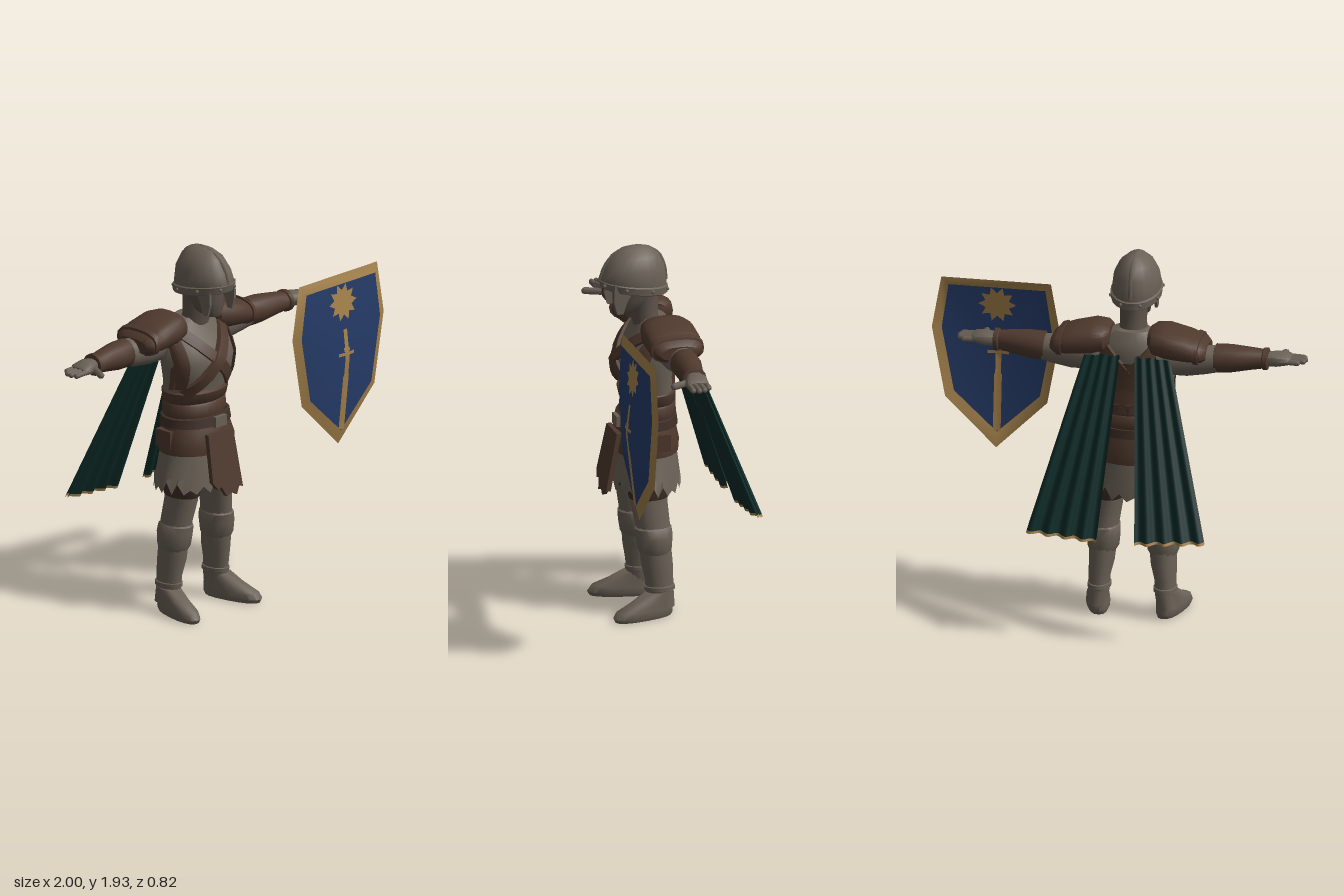
import * as THREE from 'three';
import { toCreasedNormals } from 'three/addons/utils/BufferGeometryUtils.js';

const mat = (name, color) => Object.assign(new THREE.MeshStandardMaterial({ color, side: THREE.DoubleSide }), { name });

const lerp = THREE.MathUtils.lerp;

// Surface through a grid of points; rows go up, columns go counter-clockwise
function grid(rows, capped) {
  const n = rows[0].length, pos = rows.flat(2), idx = [];
  for (let i = 0; i < rows.length - 1; i++)
    for (let j = 0; j < n - 1; j++) {
      const a = i * n + j;
      idx.push(a, a + 1, a + n + 1, a, a + n + 1, a + n);
    }
  if (capped) {
    const top = (rows.length - 1) * n;
    for (let j = 1; j < n - 2; j++) idx.push(0, j + 1, j, top, top + j, top + j + 1);
  }
  const g = new THREE.BufferGeometry();
  g.setAttribute('position', new THREE.Float32BufferAttribute(pos, 3));
  g.setIndex(idx);
  return toCreasedNormals(g, 0.75);
}

// Loft of upright rings [y, rx, rz, cz, cx, tilt]
function loft(rings, { seg = 16, power = 1, jag = 0, capped = true } = {}) {
  const sp = v => Math.sign(v) * Math.abs(v) ** power;
  return grid(rings.map(([y, rx, rz, cz = 0, cx = 0, tilt = 0], i) =>
    Array.from({ length: seg + 1 }, (_, j) => {
      const a = (j % seg) / seg * Math.PI * 2;
      const cut = i === 0 && j % 2 ? jag * (1 + 0.5 * Math.sin(j * 2.3)) : 0;
      return [cx + rx * sp(Math.sin(a)), y + tilt * Math.cos(a) + cut, cz + rz * sp(Math.cos(a))];
    })), capped);
}

// Loft running sideways along +x; rings [x, ry, rz, cz, cy]
const sideLoft = (rings, opt) =>
  loft(rings.map(([x, ry, rz, cz, cy]) => [x, ry, rz, cz, -cy]), opt).rotateZ(-Math.PI / 2);

function add(parent, name, geometry, material, x = 0, y = 0, z = 0) {
  const m = new THREE.Mesh(geometry, material);
  m.name = name;
  m.position.set(x, y, z);
  parent.add(m);
  return m;
}

const TORSO = [[1.0, .17, .125, .07], [1.14, .175, .125, .065], [1.25, .205, .14, .09], [1.34, .22, .15, .09],
  [1.42, .22, .135, .065], [1.49, .19, .105, .045], [1.55, .1, .075, .05]];

// Depth of the torso surface at x, y (dir 1 front, -1 back)
function torsoZ(x, y, dir) {
  let i = 0;
  while (i < TORSO.length - 2 && TORSO[i + 1][0] < y) i++;
  const a = TORSO[i], b = TORSO[i + 1], t = THREE.MathUtils.clamp((y - a[0]) / (b[0] - a[0]), 0, 1);
  const [rx, rz, cz] = [1, 2, 3].map(k => lerp(a[k], b[k], t));
  return cz + dir * rz * Math.sqrt(Math.max(0.03, 1 - (x / rx) ** 2));
}

// Raised leather band laid over the torso between two points
function strap([x0, y0], [x1, y1], width, dir, lift = 0.018) {
  const len = Math.hypot(x1 - x0, y1 - y0), px = (y0 - y1) / len, py = (x1 - x0) / len;
  const rows = [];
  for (let i = 0; i <= 10; i++) {
    const cx = lerp(x0, x1, i / 10), cy = lerp(y0, y1, i / 10);
    rows.push([-.5, -.44, -.15, .15, .44, .5].map((w, k) => {
      const x = cx + px * w * width, y = cy + py * w * width;
      return [x, y, torsoZ(x, y, dir) + dir * (k % 5 ? lift : -0.01)];
    }));
  }
  return grid(rows);
}

export function createModel() {
  const steel = mat('steel', 0x6a6156), skin = mat('skin', 0x5a5047), leather = mat('leather', 0x4f392d),
    darkLeather = mat('dark leather', 0x3f2e26), green = mat('green cloth', 0x0c2b28),
    blue = mat('blue paint', 0x263c69), gold = mat('gold paint', 0xa5824c);
  const model = new THREE.Group();
  const body = new THREE.Group();
  body.name = 'body';
  body.position.x = -0.095;
  model.add(body);

  // Head and helmet
  add(body, 'neck', loft([[1.45, .1, .08, .05], [1.56, .07, .07, .085], [1.7, .07, .075, .09]]), skin);
  add(body, 'face', loft([[1.575, .04, .04, .2], [1.6, .068, .075, .175], [1.66, .083, .1, .15], [1.76, .09, .11, .14]]), skin);
  add(body, 'helmet', loft([[1.7, .116, .165, .14, -.005, .025], [1.745, .125, .176, .145, -.005, .02], [1.82, .115, .16, .14, -.005],
    [1.88, .085, .125, .135, -.005], [1.915, .045, .08, .13, -.005], [1.93, .008, .03, .13, -.005]], { seg: 20 }), steel);
  add(body, 'helmetRim', loft([[1.695, .121, .168, .14, -.005, .025], [1.70, .128, .176, .14, -.005, .025],
    [1.735, .132, .181, .143, -.005, .025], [1.742, .122, .17, .143, -.005, .025]], { seg: 20, capped: false }), steel);
  const crest = new THREE.CatmullRomCurve3([[.318, 1.76], [.295, 1.83], [.24, 1.89], [.13, 1.925], [.02, 1.885], [-.02, 1.81], [-.03, 1.73]]
    .map(([z, y]) => new THREE.Vector3(-.005, y, z)));
  add(body, 'helmetCrest', new THREE.TubeGeometry(crest, 20, 0.01, 5), steel);
  for (let i = 0; i < 8; i++) {
    const a = (i + 0.5) / 8 * Math.PI * 2;
    add(body, 'helmetRivet', new THREE.SphereGeometry(0.01, 6, 4), steel,
      -.005 + .131 * Math.sin(a), 1.72 + .025 * Math.cos(a), .143 + .18 * Math.cos(a));
  }
  const cheek = new THREE.Shape([[.15, 1.74], [.27, 1.76], [.272, 1.66], [.255, 1.6], [.225, 1.6], [.2, 1.67]]
    .map(([z, y]) => new THREE.Vector2(-z, y)));
  for (const s of [-1, 1])
    add(body, 'cheekGuard', new THREE.ExtrudeGeometry(cheek, { depth: .014, bevelEnabled: false }).rotateY(Math.PI / 2),
      steel, s * .088 - .007);

  // Torso, straps and back panel
  add(body, 'torso', loft(TORSO, { seg: 24 }), steel);
  add(body, 'bellyWrap', loft([[1.02, .172, .13, .07], [1.05, .185, .142, .07], [1.1, .182, .138, .068], [1.11, .176, .13, .068],
    [1.12, .185, .14, .07], [1.17, .192, .146, .075], [1.18, .18, .13, .075]], { seg: 24, capped: false }), leather);
  for (const s of [-1, 1]) {
    add(body, 'chestStrap', strap([s * .15, 1.5], [-s * .16, 1.17], .065, 1, s > 0 ? .024 : .016), leather);
    add(body, 'shoulderYoke', strap([s * .19, 1.5], [s * .185, 1.2], .05, 1), leather);
    add(body, 'backYoke', strap([s * .17, 1.47], [s * .02, 1.3], .13, -1), leather);
  }
  add(body, 'backPanel', strap([0, 1.12], [0, 1.4], .24, -1, .013), leather);

  // Belt, leather skirt and ragged hem
  add(body, 'skirt', loft([[.85, .215, .168, .085], [.9, .218, .172, .085], [.97, .198, .152, .08], [1.03, .18, .135, .075]],
    { seg: 24, capped: false }), leather);
  add(body, 'belt', loft([[.985, .19, .145, .078], [.99, .204, .158, .078], [1.035, .198, .15, .076], [1.04, .185, .135, .076]],
    { seg: 24, capped: false }), darkLeather);
  add(body, 'buckle', new THREE.BoxGeometry(.08, .055, .02), steel, .015, 1.012, .238);
  add(body, 'raggedHem', loft([[.655, .255, .18, .09], [.74, .238, .175, .088], [.88, .2, .155, .085]],
    { seg: 40, jag: .045, capped: false }), steel);
  add(body, 'hips', loft([[.7, .17, .12, .09], [.8, .19, .14, .085], [.98, .17, .13, .075]]), darkLeather);
  const flap = new THREE.Shape([[-.09, .96], [-.105, .72], [-.075, .68], [-.05, .69], [-.02, .635], [.02, .65], [.05, .63], [.075, .67],
    [.1, .66], [.09, .96]].map(p => new THREE.Vector2(...p)));
  const flapGeo = new THREE.ExtrudeGeometry(flap, { depth: .025, bevelEnabled: false });
  flapGeo.applyMatrix4(new THREE.Matrix4().set(1, 0, 0, 0, 0, 1, 0, 0, 0, -.2, 1, .425, 0, 0, 0, 1));
  add(body, 'frontFlap', flapGeo, leather);
  for (const s of [-1, 1]) add(body, 'pouch', new THREE.BoxGeometry(.035, .09, .1), leather, s * .2, .93, .06);

  // Arms, legs and cape panels, mirrored
  for (const s of [1, -1]) {
    const side = new THREE.Group();
    side.name = s > 0 ? 'leftSide' : 'rightSide';
    side.scale.x = s;
    body.add(side);

    add(side, 'pauldron', sideLoft([[.1, .045, .085, .02, 1.525], [.125, .07, .125, .02, 1.515], [.19, .082, .14, .02, 1.508],
      [.3, .07, .142, .02, 1.49], [.375, .055, .13, .02, 1.475], [.4, .035, .1, .02, 1.47]], { seg: 20, power: .8 }), leather);
    add(side, 'pauldronBand', sideLoft([[.335, .055, .12, .02, 1.48], [.34, .072, .143, .02, 1.482], [.365, .067, .14, .02, 1.478],
      [.37, .05, .12, .02, 1.476]], { seg: 20, power: .8 }), leather);
    add(side, 'upperArm', sideLoft([[.15, .085, .085, 0, 1.42], [.3, .085, .08, 0, 1.42], [.4, .075, .07, .005, 1.425],
      [.5, .062, .065, .01, 1.435], [.7, .04, .045, .035, 1.44]]), steel);
    add(side, 'bracer', sideLoft([[.435, .058, .06, .01, 1.435], [.44, .074, .073, .01, 1.435], [.52, .072, .076, .015, 1.437],
      [.62, .058, .062, .025, 1.44], [.68, .05, .054, .033, 1.44], [.685, .057, .062, .034, 1.44], [.705, .057, .062, .035, 1.44],
      [.71, .04, .045, .035, 1.44]]), leather);
    add(side, 'palm', sideLoft([[.69, .034, .038, .035, 1.44], [.75, .036, .058, .04, 1.443], [.81, .026, .06, .05, 1.443],
      [.825, .015, .05, .052, 1.443]], { seg: 12, power: .8 }), steel);
    [.86, .885, .89, .88].forEach((tip, i) => {
      const z = .008 + i * .029, f = add(side, 'finger', new THREE.CapsuleGeometry(.0155, tip - .79, 3, 6), steel, (tip + .79) / 2, 1.44, z);
      f.rotation.z = Math.PI / 2 - .04;
    });
    const thumb = add(side, 'thumb', new THREE.CapsuleGeometry(.018, .085, 3, 6), steel, .755, 1.432, .125);
    thumb.rotation.set(Math.PI / 2, 0, -.45);

    add(side, 'leg', loft([[.05, .05, .07, .05, .18], [.13, .053, .073, .055, .17], [.2, .056, .075, .06, .17], [.28, .066, .083, .068, .16],
      [.36, .07, .083, .075, .155], [.48, .072, .09, .085, .145], [.6, .07, .098, .1, .125], [.78, .09, .11, .1, .105]]), steel);
    add(side, 'kneeGuard', loft([[.335, .07, .08, .075, .157], [.36, .083, .09, .078, .155], [.42, .086, .098, .08, .152],
      [.465, .08, .098, .085, .147], [.48, .066, .08, .085, .145]], { seg: 12 }), steel);
    add(side, 'ankleBand', loft([[.135, .05, .07, .055, .17], [.14, .06, .08, .055, .17], [.16, .06, .08, .057, .17],
      [.165, .05, .07, .057, .17]]), steel);
    add(side, 'breeches', loft([[.62, .074, .1, .1, .122], [.63, .079, .106, .1, .12], [.78, .095, .115, .1, .105]]), darkLeather);
    const foot = add(side, 'boot', loft([[0, .053, .158, .1], [.02, .062, .168, .1], [.05, .06, .158, .09], [.085, .055, .115, .05],
      [.13, .052, .075, .005]], { power: .85 }), steel, .175, 0, .055);
    foot.rotation.y = .22;

    // Pleated cape strip between two heights (v: 0 shoulder, 1 hem)
    const cape = (v0, v1, lift) => {
      const g = new THREE.PlaneGeometry(1, 1, 32, 8), p = g.attributes.position;
      for (let i = 0; i < p.count; i++) {
        const u = p.getX(i) + .5, v = lerp(v0, v1, .5 - p.getY(i));
        const fold = Math.sin(u * Math.PI * 8) * (.006 + .012 * v);
        p.setXYZ(i, lerp(lerp(.04, .1, v), lerp(.22, .46, v), u), 1.44 - v * lerp(.9, .87, u), -.085 - .305 * v + fold + lift);
      }
      g.computeVertexNormals();
      return g;
    };
    for (const lift of [0, .016]) {
      add(side, 'capePanel', cape(0, .985, lift), green);
      add(side, 'capeTrim', cape(.985, 1, lift), gold);
    }
  }

  // Shield: gold rim around a shallow faceted blue face
  const shield = new THREE.Group();
  shield.name = 'shield';
  shield.position.set(.668, 1.2, 0);
  model.add(shield);
  const mirrorOutline = half => [...half.map(([x, y]) => [-x, y]), ...half.slice().reverse().filter(([x]) => x > 0)].reverse();
  const outer = mirrorOutline([[.283, .435], [.332, .16], [.264, -.21], [0, -.47]]);
  const inner = mirrorOutline([[.25, .388], [.285, .155], [.222, -.185], [0, -.393]]);
  const ring = (pts, z) => [...pts, pts[0]].map(([x, y]) => [x, y, z]);
  const gauge = (x, y) => Math.max(...inner.map(([ax, ay], i) => {
    const [bx, by] = inner[(i + 1) % inner.length];
    return (x * (by - ay) - y * (bx - ax)) / (ax * (by - ay) - ay * (bx - ax));
  }));
  const faceZ = (x, y) => .41 - .045 * gauge(x, y);
  add(shield, 'shieldRim', grid([ring(outer, .345), ring(inner, .365)]), gold);
  add(shield, 'shieldFace', grid([ring(inner, .365), ring(inner.map(() => [0, 0]), .41)]), blue);

  // Painted sun and sword, on both faces
  const paint = (name, geometry) => {
    for (const off of [.004, -.004]) {
      const g = geometry.clone(), p = g.attributes.position;
      for (let i = 0; i < p.count; i++) p.setZ(i, faceZ(p.getX(i), p.getY(i)) + off);
      g.computeVertexNormals();
      add(shield, name, g, gold);
    }
  };
  const sun = new THREE.CircleGeometry(1, 20), sp = sun.attributes.position;
  for (let i = 1; i < sp.count; i++) {
    const r = i % 2 ? .098 : .064;
    sp.setXY(i, sp.getX(i) * r, sp.getY(i) * r);
  }
  paint('sunEmblem', sun.translate(0, .295, 0));
  for (const [name, w, top, bottom] of [['swordGrip', .026, .155, .035], ['swordGuard', .11, .035, .018], ['swordBlade', .03, .018, -.09],
    ['swordBladeLower', .04, -.09, -.385], ['swordPommel', .04, .06, .04]])
    paint(name, new THREE.PlaneGeometry(w, top - bottom, 2, 6).translate(0, (top + bottom) / 2, 0));

  return model;
}
